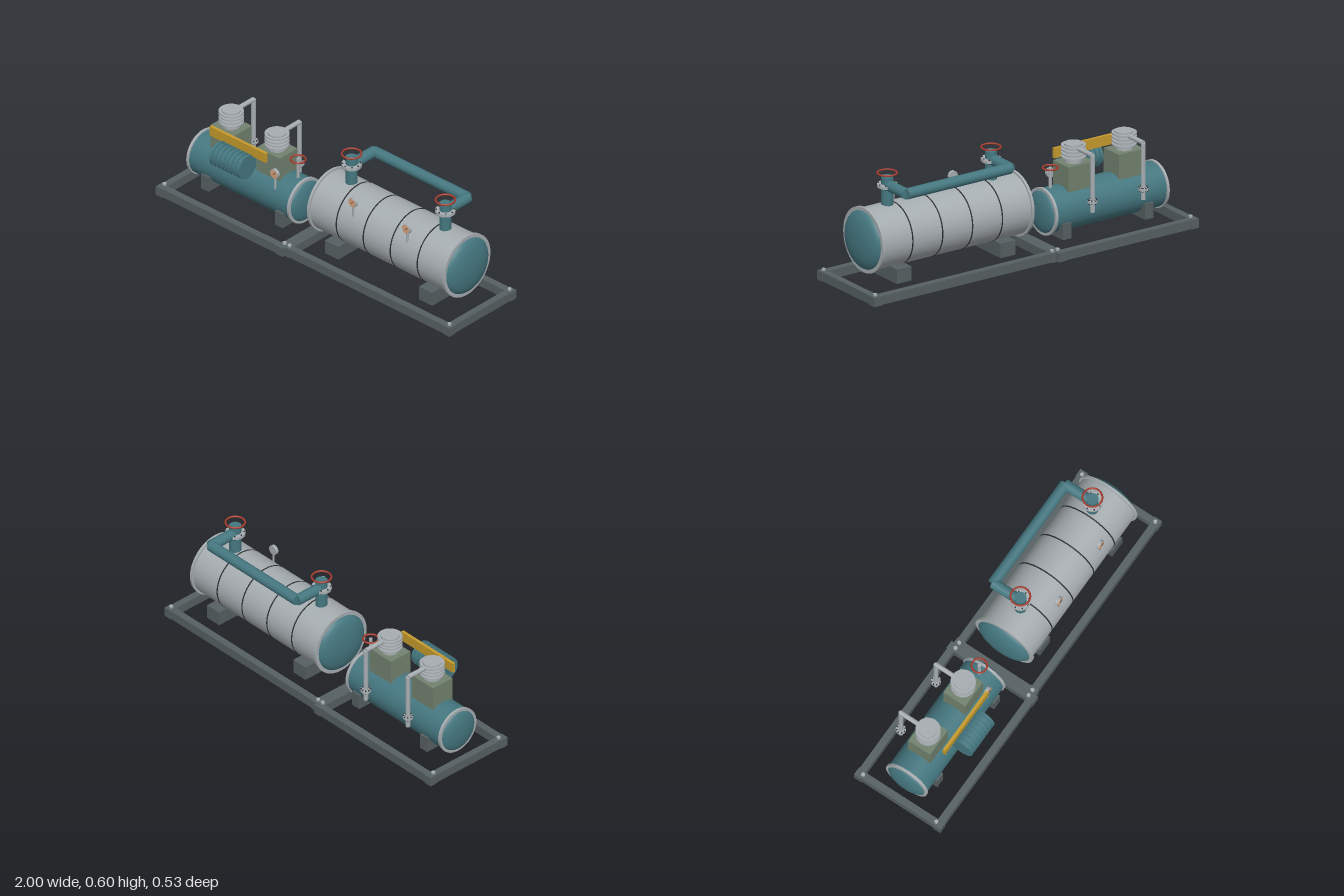
import * as THREE from 'three';

const mat = (name, color) => {
  const m = new THREE.MeshStandardMaterial({ color });
  m.name = name;
  return m;
};

export function createModel() {
  const teal = mat('teal paint', 0x457780);
  const steel = mat('light steel', 0xa6adb1);
  const frame = mat('dark frame grey', 0x566062);
  const green = mat('grey green', 0x72826f);
  const yellow = mat('guard yellow', 0xc69a2c);
  const red = mat('handwheel red', 0xa83c2d);
  const copper = mat('copper dial', 0xd9a077);
  const dark = mat('seam black', 0x2d3133);

  const model = new THREE.Group();
  model.name = 'compressorAndTankSkid';

  const add = (name, geo, material, x, y, z, parent = model) => {
    const m = new THREE.Mesh(geo, material);
    m.name = name;
    m.position.set(x, y, z);
    parent.add(m);
    return m;
  };
  const group = (name) => {
    const g = new THREE.Group();
    g.name = name;
    model.add(g);
    return g;
  };
  const box = (name, material, x0, x1, y0, y1, z0, z1, parent) =>
    add(name, new THREE.BoxGeometry(x1 - x0, y1 - y0, z1 - z0), material,
      (x0 + x1) / 2, (y0 + y1) / 2, (z0 + z1) / 2, parent);
  // Cylinder along a chosen axis, centred on the given point
  const cyl = (name, material, axis, r, len, x, y, z, parent, seg = 32) => {
    const geo = new THREE.CylinderGeometry(r, r, len, seg);
    if (axis === 'x') geo.rotateZ(-Math.PI / 2);
    if (axis === 'z') geo.rotateX(Math.PI / 2);
    return add(name, geo, material, x, y, z, parent);
  };

  // Rectangular skid frame with corner blocks and anchor bolts
  const skid = (name, x0, x1, halfZ) => {
    const g = group(name);
    const w = 0.038, c = 0.046, e = 0.004;
    for (const s of [-1, 1]) {
      const z = s * (halfZ - e - w / 2);
      box('sideRail', frame, x0 + e, x1 - e, 0.001, 0.049, z - w / 2, z + w / 2, g);
      const x = s < 0 ? x0 + e + w / 2 : x1 - e - w / 2;
      box('crossRail', frame, x - w / 2, x + w / 2, 0.001, 0.049, -halfZ + e, halfZ - e, g);
      for (const t of [-1, 1]) {
        const cx = s < 0 ? x0 + c / 2 : x1 - c / 2;
        const cz = t * (halfZ - c / 2);
        box('cornerBlock', frame, cx - c / 2, cx + c / 2, 0, 0.05, cz - c / 2, cz + c / 2, g);
        cyl('anchorBolt', steel, 'y', 0.011, 0.012, cx, 0.055, t * 0.224, g, 6);
      }
    }
  };
  skid('compressorSkid', -1, -0.13, 0.264);
  skid('tankSkid', -0.142, 1, 0.249);

  // Horizontal vessel: shell, flange rings, domed heads and saddles
  const vessel = (name, o) => {
    const g = group(name);
    cyl('shell', o.shell, 'x', o.r, o.x1 - o.x0, (o.x0 + o.x1) / 2, o.y, 0, g, 48);
    for (const s of [-1, 1]) {
      const x = s < 0 ? o.x0 : o.x1;
      cyl('flangeRing', steel, 'x', o.flangeR, 0.014, x, o.y, 0, g, 40);
      const pts = [];
      for (let i = 0; i <= 10; i++) {
        const a = (i / 10) * Math.PI / 2;
        pts.push(new THREE.Vector2(i === 10 ? 0 : o.headR * Math.cos(a), o.depth * Math.sin(a)));
      }
      const dome = new THREE.LatheGeometry(pts, 40);
      dome.rotateZ(-s * Math.PI / 2);
      add('domedHead', dome, teal, x, o.y, 0, g);
    }
    for (const [a, b] of o.saddles)
      box('saddle', frame, a, b, 0.05, o.saddleTop, -o.saddleZ, o.saddleZ, g);
    return g;
  };
  vessel('receiverVessel', {
    shell: teal, x0: -0.912, x1: -0.222, y: 0.177, r: 0.118, flangeR: 0.125, headR: 0.113,
    depth: 0.034, saddles: [[-0.82, -0.767], [-0.313, -0.26]], saddleTop: 0.134, saddleZ: 0.122,
  });
  const tank = vessel('storageTank', {
    shell: steel, x0: -0.04, x1: 0.885, y: 0.264, r: 0.163, flangeR: 0.174, headR: 0.156,
    depth: 0.052, saddles: [[0.056, 0.147], [0.7, 0.79]], saddleTop: 0.127, saddleZ: 0.15,
  });
  for (let i = 1; i < 5; i++)
    cyl('seamBand', dark, 'x', 0.1645, 0.007, -0.04 + i * 0.185, 0.264, 0, tank, 48);

  // Bolted pipe flange around a vertical pipe
  const flange = (r, h, boltR, x, y, z, parent) => {
    cyl('pipeFlange', steel, 'y', r, h, x, y, z, parent);
    for (let i = 0; i < 8; i++) {
      const a = (i / 8) * Math.PI * 2;
      cyl('flangeBolt', dark, 'y', 0.004, h + 0.008,
        x + Math.cos(a) * boltR, y, z + Math.sin(a) * boltR, parent, 6);
    }
  };
  const handwheel = (r, x, y, parent) => {
    const geo = new THREE.TorusGeometry(r, 0.005, 8, 32);
    geo.rotateX(Math.PI / 2);
    add('handwheel', geo, red, x, y, 0, parent);
  };

  // Tank nozzles with valves, joined by an overhead pipe at the rear
  const piping = group('overheadPiping');
  const nozzles = [0.1, 0.743];
  for (const x of nozzles) {
    cyl('nozzle', teal, 'y', 0.031, 0.165, x, 0.4925, 0, piping);
    flange(0.052, 0.016, 0.046, x, 0.528, 0, piping);
    handwheel(0.05, x, 0.594, piping);
    cyl('branchPipe', teal, 'z', 0.0285, 0.167, x, 0.53, -0.0835, piping);
  }
  cyl('headerPipe', teal, 'x', 0.0285, nozzles[1] - nozzles[0], 0.4215, 0.53, -0.167, piping);

  // Pressure gauges
  const gauge = (x, y, z, stemY) => {
    const g = group('pressureGauge');
    cyl('gaugeStem', steel, 'y', 0.006, y - stemY, x, (y + stemY) / 2, z - 0.002, g, 12);
    cyl('gaugeCase', steel, 'z', 0.026, 0.016, x, y, z, g);
    cyl('gaugeDial', copper, 'z', 0.023, 0.003, x, y, z + 0.0085, g);
    const needle = add('gaugeNeedle', new THREE.BoxGeometry(0.003, 0.018, 0.003), dark,
      x + 0.005, y + 0.005, z + 0.011, g);
    needle.rotation.z = -Math.PI / 4;
  };
  gauge(0.238, 0.427, 0.139, 0.335);
  gauge(0.607, 0.427, 0.139, 0.335);
  gauge(-0.336, 0.333, 0.097, 0.235);

  // Compressor heads: block, finned cylinder and discharge pipe
  for (const x of [-0.725, -0.411]) {
    const g = group('compressorHead');
    box('crankcase', green, x - 0.079, x + 0.079, 0.27, 0.409, -0.067, 0.067, g);
    cyl('cylinderBarrel', steel, 'y', 0.048, 0.105, x, 0.4535, 0, g);
    for (let i = 0; i < 4; i++)
      cyl('coolingFin', steel, 'y', 0.064, 0.008, x, 0.436 + i * 0.0193, 0, g);
    cyl('dischargePipe', steel, 'z', 0.0125, 0.166, x, 0.487, -0.083, g, 16);
    cyl('dischargeDrop', steel, 'y', 0.0125, 0.304, x, 0.335, -0.166, g, 16);
    flange(0.026, 0.014, 0.022, x, 0.24, -0.166, g);
  }

  // Finned drive motor and belt guard
  const drive = group('driveMotor');
  cyl('motorBody', teal, 'x', 0.059, 0.203, -0.565, 0.345, 0.163, drive);
  for (let i = 0; i < 8; i++)
    cyl('motorFin', teal, 'x', 0.066, 0.016, -0.658 + i * 0.0266, 0.345, 0.163, drive);
  box('beltGuard', yellow, -0.757, -0.372, 0.395, 0.449, 0.112, 0.128, drive);

  // Outlet valve on the receiver
  const valve = group('outletValve');
  cyl('valveStem', steel, 'y', 0.009, 0.13, -0.267, 0.34, 0, valve, 16);
  handwheel(0.039, -0.267, 0.403, valve);

  return model;
}
